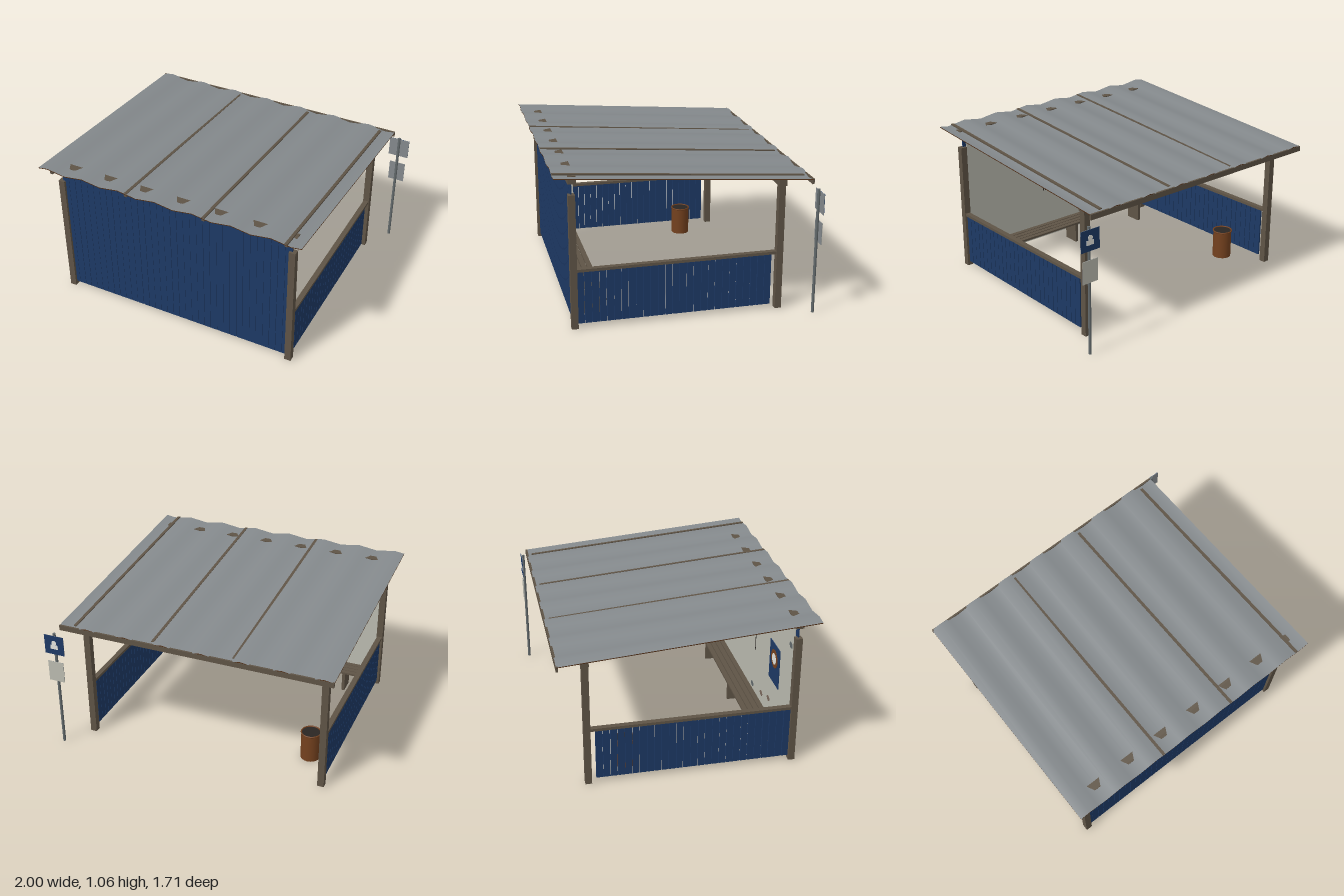
import * as THREE from 'three';

const mat = (name, color) => {
  const m = new THREE.MeshStandardMaterial({ color });
  m.name = name;
  return m;
};

export function createModel() {
  const root = new THREE.Group();
  root.name = 'shelter';
  const blue = mat('blue paint', 0x1d3965);
  const wood = mat('weathered wood', 0x5f5446);
  const roofGrey = mat('roof grey', 0x84898c);
  const darkBrown = mat('dark brown', 0x4f2f18);
  const plaster = mat('plaster', 0xbbbbb0);
  const rust = mat('rust brown', 0x74411e);
  const dark = mat('dark outline', 0x2a2623);
  const white = mat('white', 0xe4e4de);
  const steel = mat('steel', 0x636a6c);
  const stain = mat('stain brown', 0x7c6a5e);

  const add = (parent, name, geo, material) => {
    const m = new THREE.Mesh(geo, material);
    m.name = name;
    parent.add(m);
    return m;
  };
  const group = (name) => {
    const g = new THREE.Group();
    g.name = name;
    root.add(g);
    return g;
  };
  // Box given by its extents
  const box = (parent, name, material, x0, x1, y0, y1, z0, z1) => {
    const m = add(parent, name, new THREE.BoxGeometry(x1 - x0, y1 - y0, z1 - z0), material);
    m.position.set((x0 + x1) / 2, (y0 + y1) / 2, (z0 + z1) / 2);
    return m;
  };
  // Thin disc facing along z
  const disc = (parent, name, material, x, y, z, rx, ry = rx) => {
    const m = add(parent, name, new THREE.CylinderGeometry(1, 1, 0.003, 20), material);
    m.rotation.x = Math.PI / 2;
    m.scale.set(rx, 1, ry);
    m.position.set(x, y, z);
    return m;
  };

  // Frame: posts and cross beams
  const frame = group('frame');
  for (const x of [-0.901, 0.794]) {
    box(frame, 'frontPost', wood, x - 0.0225, x + 0.0225, 0, 0.91, 0.715, 0.759);
    box(frame, 'backPost', wood, x - 0.0225, x + 0.0225, 0, 0.87, -0.659, -0.615);
  }
  box(frame, 'frontBeam', wood, -0.928, 0.823, 0.985, 1.037, 0.709, 0.761);
  box(frame, 'backBeam', wood, -0.928, 0.823, 0.865, 0.915, -0.664, -0.612);

  // Folded sloping roof with a dark underside; four facets make one wave
  const roof = group('roof');
  const SLOPE = 0.077, X0 = -1, X1 = 0.895, Z0 = -0.82, Z1 = 0.855, WAVES = 7, N = WAVES * 4;
  const wave = (x) => 1.051 + 0.01 * Math.sin(((x - X0) / (X1 - X0)) * WAVES * Math.PI * 2);
  const shear = (geo, slope = SLOPE) => {
    const p = geo.attributes.position;
    for (let i = 0; i < p.count; i++) p.setY(i, p.getY(i) + (p.getZ(i) - Z1) * slope);
    geo.computeVertexNormals();
    return geo;
  };
  const line = [];
  for (let i = 0; i <= N; i++) {
    const x = X0 + ((X1 - X0) * i) / N;
    line.push(new THREE.Vector2(x, wave(x)));
  }
  const lower = line.map((p) => new THREE.Vector2(p.x, p.y - 0.006)).reverse();
  const slab = new THREE.ExtrudeGeometry(
    new THREE.Shape([...line.map((p) => new THREE.Vector2(p.x, p.y - 0.001)), ...lower]),
    { depth: Z1 - Z0, bevelEnabled: false });
  slab.translate(0, 0, Z0);
  add(roof, 'roofUnderside', shear(slab), darkBrown);
  const sheet = new THREE.PlaneGeometry(X1 - X0, Z1 - Z0, N, 1);
  sheet.rotateX(-Math.PI / 2);
  sheet.translate((X0 + X1) / 2, 0, (Z0 + Z1) / 2);
  const sp = sheet.attributes.position;
  for (let i = 0; i < sp.count; i++) sp.setY(i, wave(sp.getX(i)));
  add(roof, 'roofSheet', shear(sheet), roofGrey);
  box(roof, 'backFascia', wood, X0, X1, 0.888, 0.924, -0.822, -0.809);

  // Rafters that show above and below the sheet
  for (const x of [-0.9, -0.333, 0.228, 0.793]) {
    const g = new THREE.BoxGeometry(0.02, 0.026, 1.64);
    g.translate(x, 1.0416, 0.033);
    add(roof, 'rafter', shear(g, SLOPE + 0.001), wood);
  }

  // Front wall of upright boards
  const wall = group('frontWall');
  const FB = 35, fp = 1.69 / FB;
  for (let i = 0; i < FB; i++) {
    const x = -0.898 + fp * (i + 0.5), w = fp / 2 - (i % 5 === 2 ? 0.002 : 0.001);
    box(wall, 'wallBoard', blue, x - w, x + w, 0.03, 0.978 + (i % 3) * 0.003, 0.733, 0.742);
  }
  box(wall, 'plasterPanel', plaster, -0.88, 0.772, 0.03, 0.967, 0.719, 0.725);

  // Worn patches on the inner plaster
  [[0.535, 0.82, 0], [0.395, 0.86, 0], [-0.155, 0.82, 0], [-0.275, 0.87, 1], [-0.415, 0.87, 1],
    [-0.685, 0.94, 1], [-0.825, 0.82, 0], [-0.06, 0.11, 0], [-0.275, 0.15, 1], [-0.435, 0.2, 1]]
    .forEach(([x, y, c]) => disc(wall, 'wornPatch', c ? stain : steel, x, y, 0.7185, 0.028, 0.02));

  // Poster with a round emblem
  const poster = group('poster');
  box(poster, 'posterSheet', blue, -0.635, -0.43, 0.38, 0.672, 0.714, 0.719);
  disc(poster, 'posterRing', rust, -0.532, 0.565, 0.713, 0.067);
  disc(poster, 'posterCentre', white, -0.532, 0.565, 0.711, 0.04);

  // Plain notice with a thin dark border
  const notice = group('notice');
  box(notice, 'noticeBorder', dark, -0.1, 0.115, 0.41, 0.66, 0.716, 0.719);
  box(notice, 'noticeSheet', plaster, -0.096, 0.111, 0.414, 0.656, 0.713, 0.717);

  // Low side walls
  const SB = 27, pitch = 1.302 / SB;
  for (const [name, x] of [['rightSideWall', -0.901], ['leftSideWall', 0.794]]) {
    const side = group(name);
    for (let i = 0; i < SB; i++) {
      const z = 0.717 - pitch * (i + 0.5), w = i % 3 === 0 ? 0.0212 : 0.0228;
      box(side, 'sideBoard', blue, x - 0.006, x + 0.006, 0.03, 0.391, z - w, z + w);
    }
    box(side, 'sideRail', wood, x - 0.018, x + 0.018, 0.391, 0.41, -0.615, 0.72);
  }

  // Slatted bench on three plank legs
  const bench = group('bench');
  for (let i = 0; i < 4; i++) {
    const z = 0.515 + i * 0.04;
    box(bench, 'benchSlat', wood, -0.8, 0.74, 0.15, 0.164, z, z + 0.034);
  }
  for (const x of [-0.695, -0.055, 0.587])
    box(bench, 'benchLeg', wood, x - 0.011, x + 0.011, 0, 0.15, 0.528, 0.648);

  // Litter bin with a dark opening and base
  const bin = group('bin');
  bin.position.set(-0.732, 0, -0.364);
  const body = add(bin, 'binBody', new THREE.CylinderGeometry(0.067, 0.067, 0.2, 20),
    [rust, dark, darkBrown]);
  body.position.y = 0.1;
  const rim = add(bin, 'binRim', new THREE.TorusGeometry(0.067, 0.005, 6, 24), rust);
  rim.rotation.x = Math.PI / 2;
  rim.position.y = 0.202;

  // Sign pole with two plates facing the back
  const sign = group('signPost');
  const pole = add(sign, 'signPole', new THREE.CylinderGeometry(0.01, 0.01, 0.865, 12), steel);
  pole.position.set(0.928, 0.4325, -0.84);
  const plate = (name, face, x0, x1, y0, y1) => {
    box(sign, name, roofGrey, x0, x1, y0, y1, -0.852, -0.849);
    box(sign, name + 'Face', face, x0, x1, y0, y1, -0.854, -0.852);
  };
  plate('upperPlate', blue, 0.856, 1, 0.71, 0.85);
  plate('lowerPlate', plaster, 0.872, 0.987, 0.5, 0.65);
  disc(sign, 'symbolTop', white, 0.928, 0.797, -0.854, 0.018);
  box(sign, 'symbolBase', white, 0.901, 0.956, 0.75, 0.782, -0.8555, -0.853);

  return root;
}
